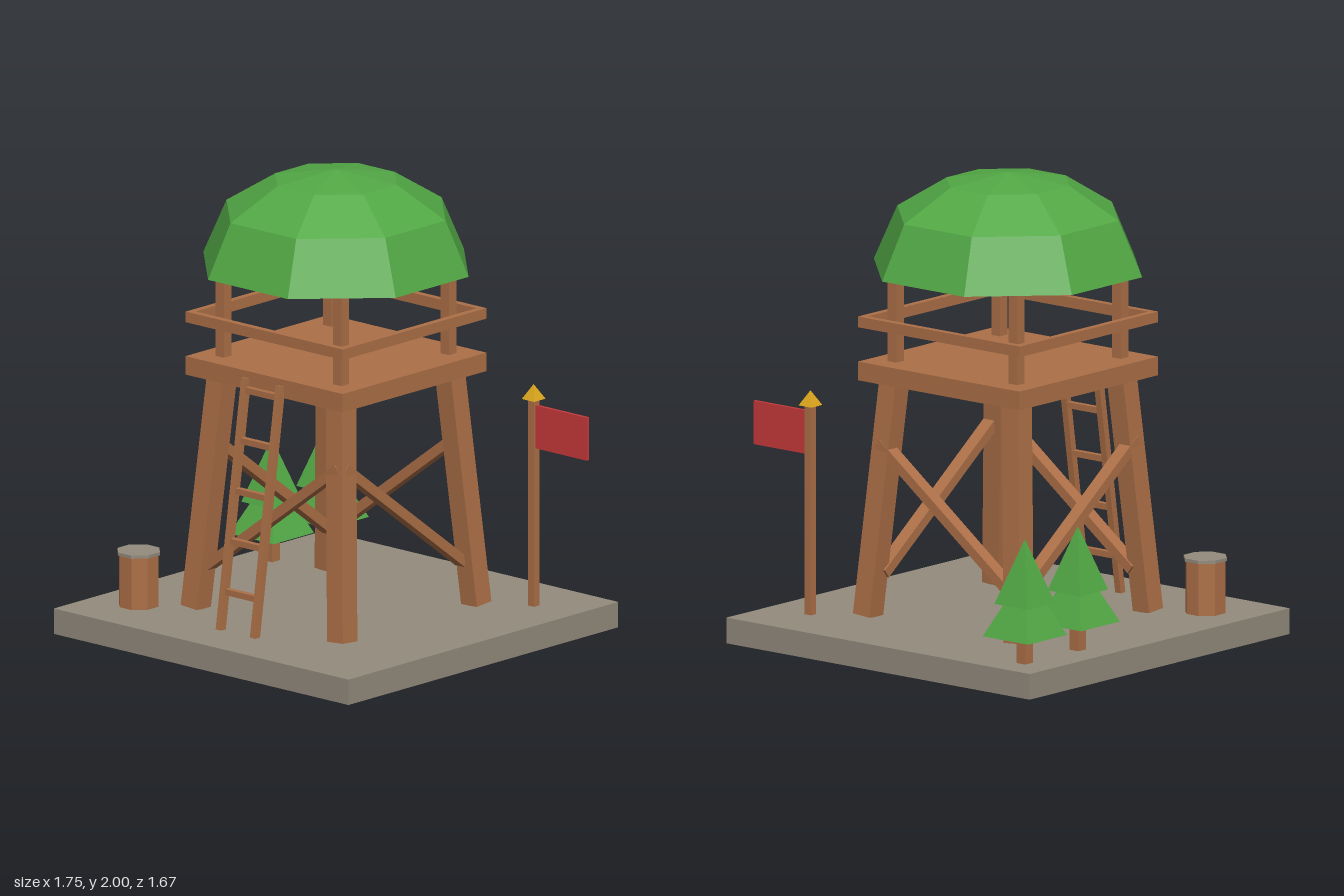
import * as THREE from 'three';

const mat = (name, color, side = THREE.FrontSide) => {
  const m = new THREE.MeshStandardMaterial({ color, side, flatShading: true });
  m.name = name;
  return m;
};

export function createModel() {
  const wood = mat('wood', 0xad7047);
  const leaf = mat('leaf green', 0x52a845, THREE.DoubleSide);
  const stone = mat('stone', 0x938b7d, THREE.DoubleSide);
  const red = mat('flag red', 0xc93a3a);
  const gold = mat('gold', 0xdaa51c);

  const model = new THREE.Group();
  model.name = 'watchtower';
  const CX = -0.045; // tower axis

  const add = (name, geometry, material, x, y, z, parent = model) => {
    const mesh = new THREE.Mesh(geometry, material);
    mesh.name = name;
    mesh.position.set(x, y, z);
    parent.add(mesh);
    return mesh;
  };
  const box = (name, w, h, d, x, y, z, material = wood, parent = model) =>
    add(name, new THREE.BoxGeometry(w, h, d), material, x, y, z, parent);
  const group = (name, x = 0, z = 0) => {
    const g = new THREE.Group();
    g.name = name;
    g.position.set(x, 0, z);
    model.add(g);
    return g;
  };
  // Straight timber between two points
  const beam = (name, a, b, w, d, parent) => {
    const from = new THREE.Vector3(...a), to = new THREE.Vector3(...b);
    const dir = to.clone().sub(from);
    const mid = from.add(to).multiplyScalar(0.5);
    const mesh = box(name, w, dir.length(), d, mid.x, mid.y, mid.z, wood, parent);
    mesh.quaternion.setFromUnitVectors(new THREE.Vector3(0, 1, 0), dir.normalize());
    return mesh;
  };

  // Ground slab, open underneath
  const slab = new THREE.BoxGeometry(1.67, 0.11, 1.67);
  slab.setIndex([...slab.index.array].filter((_, i) => i < 18 || i >= 24));
  slab.clearGroups();
  add('groundSlab', slab, stone, CX, 0.055, 0);

  // Tower frame
  const tower = group('tower', CX);
  for (const sx of [-1, 1]) {
    for (const sz of [-1, 1]) {
      beam('leg', [sx * 0.415, 0.113, sz * 0.415], [sx * 0.335, 1.14, sz * 0.335], 0.09, 0.09, tower);
      box('roofPost', 0.048, 0.41, 0.048, sx * 0.333, 1.395, sz * 0.333, wood, tower);
    }
  }
  for (const s of [-1, 1]) {
    beam('crossBrace', [-0.375, 0.29, s * 0.375], [0.375, 0.85, s * 0.375], 0.042, 0.06, tower);
    beam('sideBrace', [s * 0.375, 0.29, -0.375], [s * 0.375, 0.85, 0.375], 0.06, 0.042, tower);
    box('railing', 0.89, 0.046, 0.03, 0, 1.367, s * 0.43, wood, tower);
    box('sideRailing', 0.03, 0.046, 0.89, s * 0.43, 1.367, 0, wood, tower);
  }
  box('platform', 0.89, 0.08, 0.89, 0, 1.157, 0, wood, tower);

  // Faceted dome roof, open below
  const profile = [[0.59, 1.588], [0.487, 1.822], [0.27, 1.957], [0, 2]]
    .map(([r, y]) => new THREE.Vector2(r, y));
  add('roof', new THREE.LatheGeometry(profile, 8, Math.PI / 8), leaf, 0, 0, 0, tower);

  // Leaning ladder
  const ladder = group('ladder', CX);
  for (const s of [-1, 1]) {
    beam('ladderRail', [s * 0.097, 0.108, 0.608], [s * 0.097, 1.168, 0.45], 0.03, 0.03, ladder);
  }
  for (let i = 0; i < 5; i++) {
    const y = 0.272 + i * 0.212;
    box('rung', 0.18, 0.026, 0.026, 0, y, 0.608 - (y - 0.108) * 0.149, wood, ladder);
  }

  // Flagpole
  const flagpole = group('flagpole', 0.566, -0.556);
  box('pole', 0.034, 0.9, 0.034, 0, 0.56, 0, wood, flagpole);
  box('flag', 0.291, 0.186, 0.015, 0.1625, 0.888, 0, red, flagpole);
  const finial = add('finial', new THREE.ConeGeometry(0.05, 0.064, 4), gold, 0, 1.037, 0, flagpole);
  finial.rotation.y = Math.PI / 4;

  // Pine trees with square tiers
  for (const z of [-0.685, -0.345]) {
    const tree = group('tree', -0.725, z);
    box('trunk', 0.048, 0.13, 0.048, 0, 0.175, 0, wood, tree);
    for (const [half, y, h] of [[0.125, 0.227, 0.27], [0.09, 0.365, 0.275]]) {
      const tier = add('foliage', new THREE.ConeGeometry(half * Math.SQRT2, h, 4), leaf, 0, y + h / 2, 0, tree);
      tier.rotation.y = Math.PI / 4;
    }
  }

  // Barrel with lid
  const barrel = group('barrel', -0.657, 0.553);
  barrel.rotation.y = Math.PI / 8;
  add('barrelBody', new THREE.CylinderGeometry(0.088, 0.088, 0.225, 8), wood, 0, 0.2225, 0, barrel);
  add('barrelLid', new THREE.CylinderGeometry(0.095, 0.095, 0.014, 8), stone, 0, 0.341, 0, barrel);

  return model;
}
